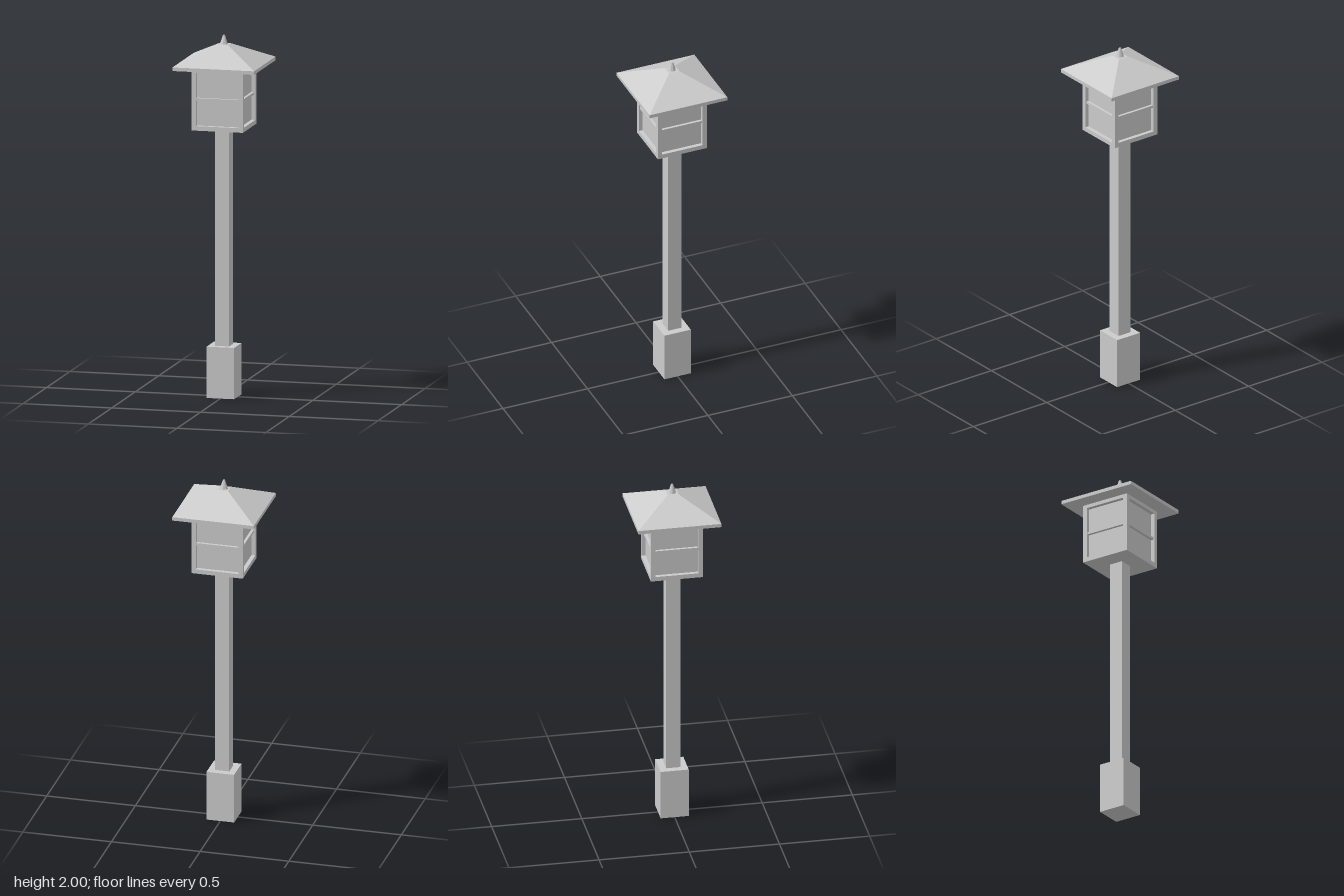
import * as THREE from 'three';

export function createModel() {
  const model = new THREE.Group();
  model.name = 'lampPost';
  const material = new THREE.MeshStandardMaterial({ color: 0xcccccc, flatShading: true });

  const add = (parent, name, geometry, x = 0, y = 0, z = 0) => {
    const mesh = new THREE.Mesh(geometry, material);
    mesh.name = name;
    mesh.position.set(x, y, z);
    parent.add(mesh);
    return mesh;
  };
  // Box spanning a height range, centred on (x, z)
  const block = (parent, name, w, d, y0, y1, x = 0, z = 0) =>
    add(parent, name, new THREE.BoxGeometry(w, y1 - y0, d), x, (y0 + y1) / 2, z);

  // Plinth and square post
  block(model, 'base', 0.156, 0.156, 0, 0.284);
  block(model, 'post', 0.08, 0.08, 0.284, 1.49);

  // Lantern: floor, inner panes and an identical frame on each side
  const lantern = new THREE.Group();
  lantern.name = 'lantern';
  model.add(lantern);
  const outer = 0.145, inner = 0.12, bar = outer - inner, mid = (outer + inner) / 2;
  block(lantern, 'floor', 0.286, 0.286, 1.49, 1.513);
  block(lantern, 'panes', 0.246, 0.246, 1.513, 1.83);
  for (let i = 0; i < 4; i++) {
    const side = new THREE.Group();
    side.name = 'lanternSide' + (i + 1);
    side.rotation.y = i * Math.PI / 2;
    lantern.add(side);
    block(side, 'cornerPost', bar, bar, 1.49, 1.83, mid, mid);
    block(side, 'topRail', 2 * inner, bar, 1.81, 1.83, 0, mid);
    block(side, 'bottomRail', 2 * inner, bar, 1.49, 1.515, 0, mid);
    block(side, 'crossBar', 2 * inner, 0.018, 1.655, 1.669, 0, 0.129);
  }

  // Hipped roof on a thin eave slab
  block(model, 'eave', 0.46, 0.46, 1.83, 1.85);
  const hip = new THREE.CylinderGeometry(0.031 * Math.SQRT2, 0.23 * Math.SQRT2, 0.1, 4);
  hip.rotateY(Math.PI / 4);
  add(model, 'roof', hip, 0, 1.9, 0);

  // Eight-sided tapered finial
  add(model, 'finial', new THREE.CylinderGeometry(0.006, 0.022, 0.05, 8), 0, 1.975, 0);

  return model;
}
